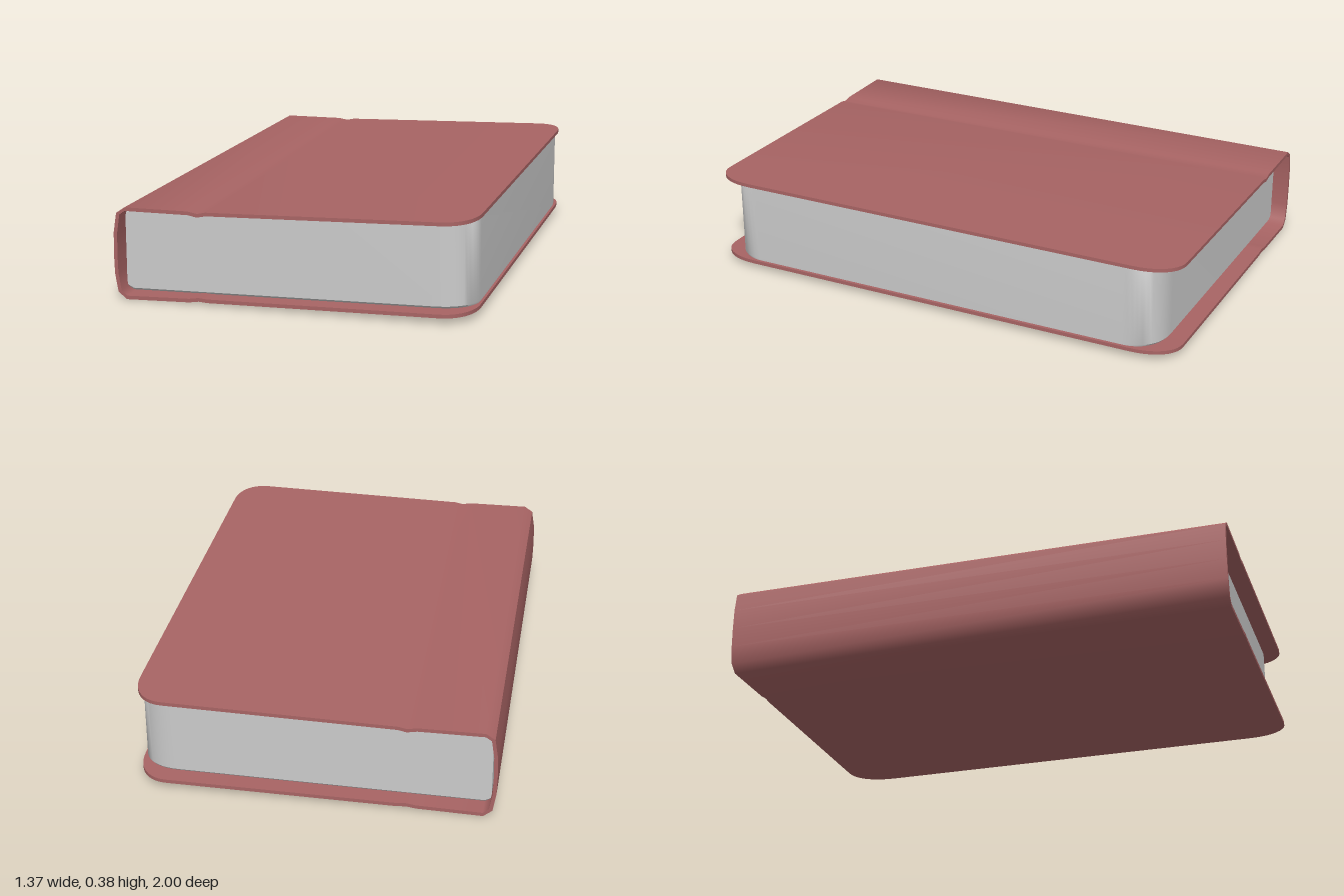
import * as THREE from 'three';
import { toCreasedNormals } from 'three/addons/utils/BufferGeometryUtils.js';

// Skin a list of equal-length rings and close both ends
function loft(rings, crease) {
  const pos = [];
  const tri = (a, b, c) => pos.push(...a, ...b, ...c);
  const n = rings[0].length;
  for (let i = 0; i < rings.length - 1; i++) {
    for (let j = 0; j < n; j++) {
      const k = (j + 1) % n, r = rings[i], s = rings[i + 1];
      tri(r[j], r[k], s[k]);
      tri(r[j], s[k], s[j]);
    }
  }
  const first = rings[0], last = rings[rings.length - 1];
  for (let j = 1; j < n - 1; j++) {
    tri(first[0], first[j + 1], first[j]);
    tri(last[0], last[j], last[j + 1]);
  }
  const geo = new THREE.BufferGeometry();
  geo.setAttribute('position', new THREE.Float32BufferAttribute(pos, 3));
  return toCreasedNormals(geo, crease);
}

// Rounded fore-edge corner as [x, half width] pairs, from the fore edge inwards
function corner(xEnd, halfWidth, rx, rz, steps) {
  const out = [];
  for (let i = steps; i >= 0; i--) {
    const a = (i / steps) * Math.PI / 2;
    out.push([
      xEnd - rx + rx * Math.pow(Math.sin(a), 0.9),
      halfWidth - rz + rz * Math.pow(Math.max(0, Math.cos(a)), 0.9),
    ]);
  }
  return out;
}

const lerpY = (x, x0, y0, x1, y1) => y0 + (y1 - y0) * (x - x0) / (x1 - x0);

// Wrap-around cover: lower board, spine and upper board in one sheet
function coverGeometry() {
  const thick = 0.014;
  const edge = corner(0.685, 1, 0.125, 0.175, 10);
  const lower = edge.map(([x, w]) => [x, lerpY(x, -0.33, 0.012, 0.685, 0.027), w]);
  const upper = edge.map(([x, w]) => [x, lerpY(x, -0.33, 0.358, 0.685, 0.382), w]).reverse();
  const path = [
    ...lower,
    [-0.32, 0.012, 1], [-0.352, 0.015, 1], [-0.39, 0.009, 1], // lower hinge groove
    [-0.64, 0.002, 1], [-0.674, 0.029, 1], [-0.686, 0.1, 1],
    [-0.688, 0.18, 1],
    [-0.686, 0.26, 1], [-0.674, 0.335, 1], [-0.64, 0.358, 1],
    [-0.39, 0.358, 1], [-0.352, 0.351, 1], [-0.32, 0.358, 1], // upper hinge groove
    ...upper,
  ];
  const rings = path.map(([x, y, w], i) => {
    const p = path[Math.max(i - 1, 0)], q = path[Math.min(i + 1, path.length - 1)];
    const dx = q[0] - p[0], dy = q[1] - p[1], len = Math.hypot(dx, dy);
    const ix = x + dy / len * thick, iy = y - dx / len * thick;
    return [[x, y, -w], [x, y, w], [ix, iy, w], [ix, iy, -w]];
  });
  return loft(rings, 0.8);
}

// Page block: leans with the boards, rounded at the fore-edge corners
function pagesGeometry() {
  const b = 0.008;
  const stations = corner(0.676, 0.935, 0.15, 0.13, 12).map(([x, w]) => [x, w, 0]);
  stations.push([-0.3, 0.935, 0], [-0.64, 0.935, 0], [-0.665, 0.935, 0.014]);
  const rings = stations.map(([x, w, inset]) => {
    const y0 = lerpY(x, -0.64, 0.021, 0.676, 0.043) + inset;
    const y1 = lerpY(x, -0.64, 0.342, 0.676, 0.365) - inset;
    return [
      [x, y0, -w + b], [x, y0, w - b], [x, y0 + b, w], [x, y1 - b, w],
      [x, y1, w - b], [x, y1, -w + b], [x, y1 - b, -w], [x, y0 + b, -w],
    ];
  });
  return loft(rings, 0.6);
}

export function createModel() {
  const book = new THREE.Group();
  book.name = 'book';
  const add = (name, geometry, color) => {
    const mesh = new THREE.Mesh(geometry, new THREE.MeshStandardMaterial({ color }));
    mesh.name = name;
    book.add(mesh);
  };
  add('cover', coverGeometry(), 0xa86464);
  add('pages', pagesGeometry(), 0xcccccc);
  return book;
}
